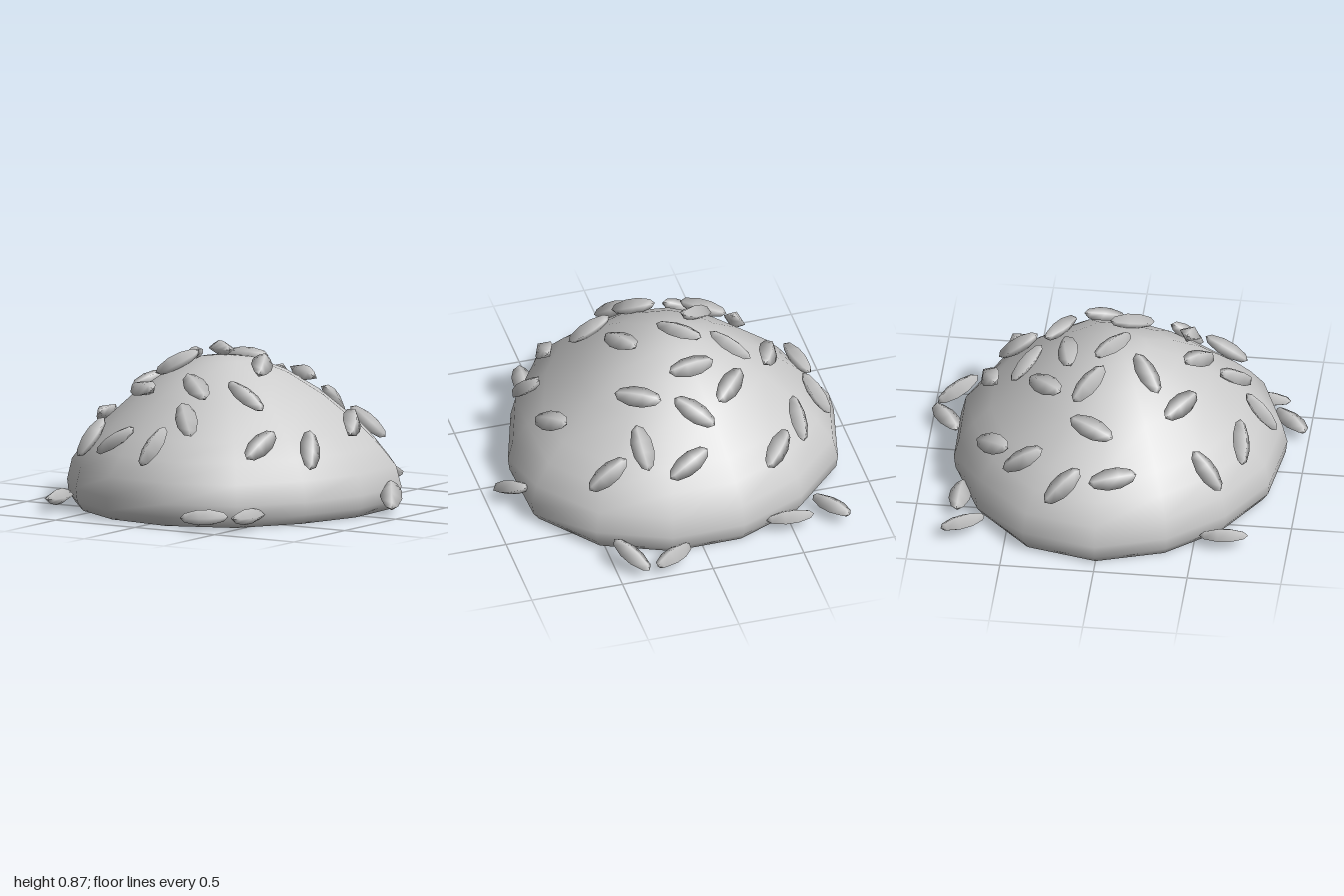
import * as THREE from 'three';

// Bun plan: 14 uneven radii around an off-centre middle
const MID = { x: -0.055, z: 0.03 };
const RADII = [0.895, 0.91, 0.88, 0.88, 0.9, 0.935, 0.948, 0.886, 0.864, 0.914, 0.894, 0.855, 0.826, 0.846];
const SIDES = RADII.length;
const START = THREE.MathUtils.degToRad(182);
const STEP = (Math.PI * 2) / SIDES;

// Bun section, bottom to top: [share of radius, height]
const SECTION = [
  [0.95, 0], [0.99, 0.05], [1, 0.12], [0.97, 0.23], [0.88, 0.335], [0.78, 0.43],
  [0.56, 0.6], [0.36, 0.715], [0.17, 0.785],
];
const TOP = 0.805;

// Seeds lying on the dome: [x, z, heading in degrees]
const DOME_SEEDS = [
  [0.04, -0.67, -19], [-0.47, -0.6, -49], [0.26, -0.545, 86], [0.46, -0.575, -5], [-0.635, -0.42, 90],
  [-0.05, -0.465, 38], [0.22, -0.315, 32], [-0.28, -0.34, -47], [-0.095, -0.24, -10], [-0.8, -0.19, 60],
  [-0.57, -0.06, -69], [-0.35, -0.1, 37], [-0.095, 0, 38], [0.205, 0.07, 64], [0.645, -0.125, 60],
  [-0.77, 0.075, 74], [-0.245, 0.2, -37], [-0.34, 0.39, 33], [0.03, 0.445, 32], [0.295, 0.37, 3],
  [0.66, 0.31, 57], [0.495, 0.54, 97], [0.09, 0.635, 44], [-0.56, 0.555, 113], [-0.31, 0.71, -9],
  [-0.025, 0.785, 105],
];

// Loose seeds around the rim: [x, y, z, heading, rise along the heading]
const RIM_SEEDS = [
  [0.195, 0.07, -0.92, -34, 0], [0.415, 0.095, -0.885, 54, 0.38], [-0.73, 0.07, -0.73, 57, 0],
  [-0.49, 0.07, -0.77, 2, 0], [0.875, 0.1, -0.155, 56, -0.5], [-0.695, 0.07, 0.66, 84, 0],
  [0.55, 0.07, 0.75, 95, 0], [0.37, 0.07, 0.9, -42, 0],
];

// Height of the dome above a point of the plan
function domeHeight(x, z) {
  const dx = x - MID.x, dz = z - MID.z;
  const turn = (Math.atan2(dz, dx) - START + Math.PI * 4) / STEP;
  const i = Math.floor(turn);
  const radius = THREE.MathUtils.lerp(RADII[i % SIDES], RADII[(i + 1) % SIDES], turn - i);
  const share = Math.hypot(dx, dz) / radius;
  const slope = [...SECTION.slice(3), [0, TOP]];
  for (let k = 1; k < slope.length; k++) {
    const [r0, y0] = slope[k - 1], [r1, y1] = slope[k];
    if (share >= r1) return THREE.MathUtils.mapLinear(Math.min(share, r0), r0, r1, y0, y1);
  }
  return TOP;
}

// Rings of the section joined into one smooth closed body
function bunGeometry() {
  const pos = [], index = [];
  for (const [share, y] of SECTION) {
    RADII.forEach((r, i) => {
      const a = START + i * STEP;
      pos.push(MID.x + Math.cos(a) * r * share, y, MID.z + Math.sin(a) * r * share);
    });
  }
  const base = pos.length / 3, tip = base + 1, last = (SECTION.length - 1) * SIDES;
  pos.push(MID.x, 0, MID.z, MID.x, TOP, MID.z);
  for (let i = 0; i < SIDES; i++) {
    const j = (i + 1) % SIDES;
    index.push(base, i, j, last + i, tip, last + j);
    for (let k = 0; k < last; k += SIDES) {
      index.push(k + i, k + SIDES + i, k + j, k + j, k + SIDES + i, k + SIDES + j);
    }
  }
  const geo = new THREE.BufferGeometry();
  geo.setAttribute('position', new THREE.Float32BufferAttribute(pos, 3));
  geo.setIndex(index);
  geo.computeVertexNormals();
  return geo;
}

// Four-sided pointed seed, long along x and flattened in y
function seedGeometry() {
  const half = [[0, -0.13], [0.034, -0.105], [0.057, -0.035]];
  const outline = [...half, ...half.map(([r, y]) => [r, -y]).reverse()];
  const geo = new THREE.LatheGeometry(outline.map(([r, y]) => new THREE.Vector2(r, y)), 4);
  return geo.rotateZ(-Math.PI / 2).scale(1, 0.72, 1);
}

export function createModel() {
  const model = new THREE.Group();
  model.name = 'seededBun';
  const material = new THREE.MeshStandardMaterial({ color: 0xcccccc });

  const bun = new THREE.Mesh(bunGeometry(), material);
  bun.name = 'bun';
  model.add(bun);

  const seeds = new THREE.Group();
  seeds.name = 'seeds';
  model.add(seeds);
  const seedGeo = seedGeometry();

  // Places a seed with its length along dir and its flat side facing up
  function addSeed(position, dir, up) {
    const seed = new THREE.Mesh(seedGeo, material);
    seed.name = 'seed';
    const x = dir.normalize();
    const z = new THREE.Vector3().crossVectors(x, up).normalize();
    const y = new THREE.Vector3().crossVectors(z, x);
    seed.quaternion.setFromRotationMatrix(new THREE.Matrix4().makeBasis(x, y, z));
    seed.position.copy(position);
    seeds.add(seed);
  }

  const e = 0.09;
  for (const [x, z, deg] of DOME_SEEDS) {
    const a = THREE.MathUtils.degToRad(deg), c = Math.cos(a), s = Math.sin(a);
    const rise = (domeHeight(x + c * e, z + s * e) - domeHeight(x - c * e, z - s * e)) / (2 * e);
    const normal = new THREE.Vector3(
      domeHeight(x - e, z) - domeHeight(x + e, z), 2 * e, domeHeight(x, z - e) - domeHeight(x, z + e),
    ).normalize();
    const y = domeHeight(x, z) + 0.032 / normal.y;
    addSeed(new THREE.Vector3(x, y, z), new THREE.Vector3(c, rise, s), normal);
  }

  for (const [x, y, z, deg, rise] of RIM_SEEDS) {
    const a = THREE.MathUtils.degToRad(deg);
    addSeed(new THREE.Vector3(x, y, z), new THREE.Vector3(Math.cos(a), rise, Math.sin(a)), new THREE.Vector3(0, 1, 0));
  }
  return model;
}
